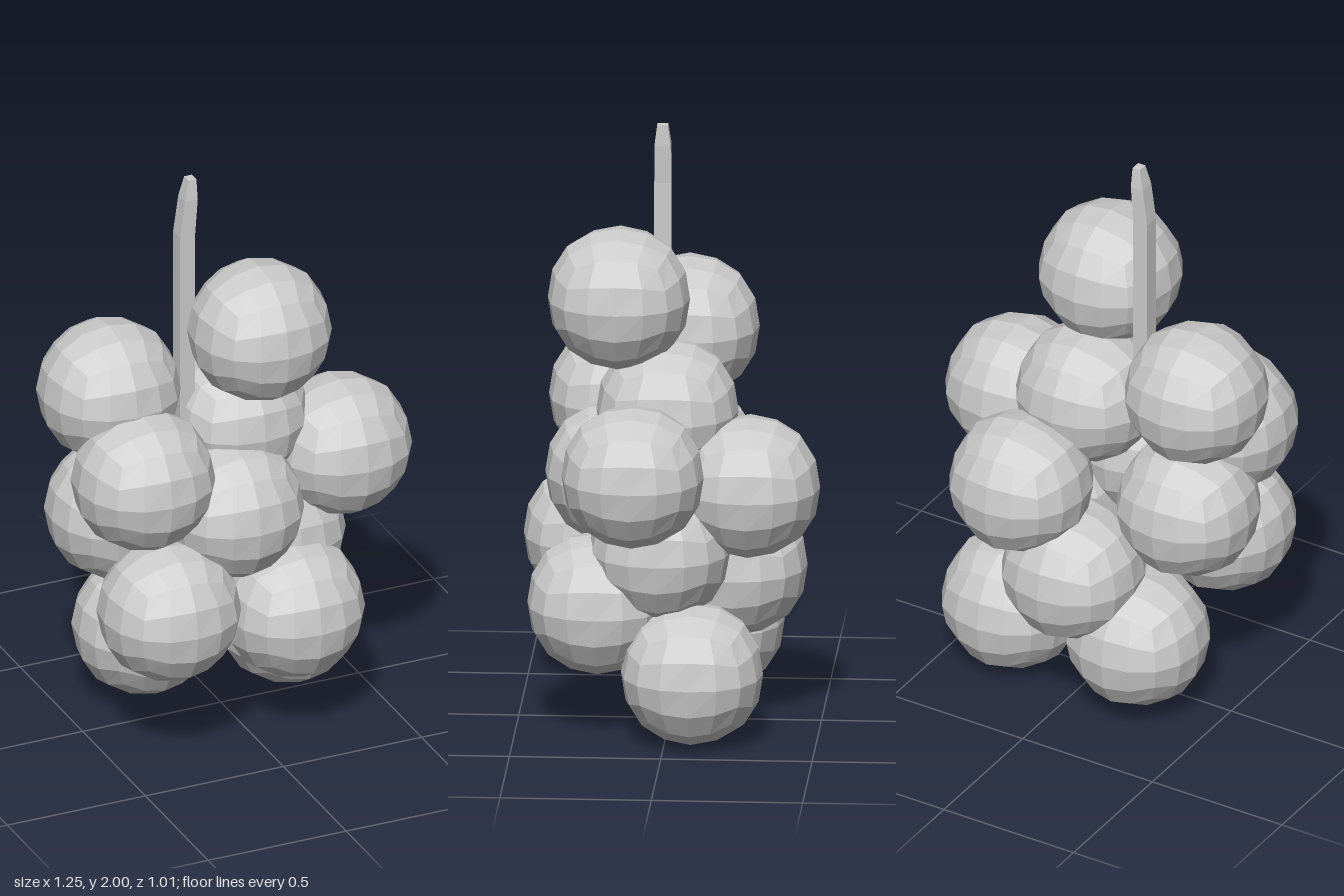
import * as THREE from 'three';

// Low-poly berry: a subdivided cube rounded to a ball, slightly fuller along its diagonals
function berryGeometry(radius) {
  const geo = new THREE.BoxGeometry(2, 2, 2, 4, 4, 4);
  const pos = geo.attributes.position;
  const v = new THREE.Vector3();
  const spread = (c) => (Math.abs(Math.abs(c) - 0.5) < 0.01 ? Math.sign(c) * 0.427 : c);
  for (let i = 0; i < pos.count; i++) {
    v.fromBufferAttribute(pos, i);
    v.set(spread(v.x), spread(v.y), spread(v.z)).normalize();
    const [a, b, c] = [v.x * v.x, v.y * v.y, v.z * v.z];
    v.multiplyScalar(radius * (1 + 0.14 * (a * b + b * c + c * a) - 1.15 * a * b * c));
    pos.setXYZ(i, v.x, v.y, v.z);
  }
  geo.computeVertexNormals();
  return geo;
}

// Four-sided stem lofted through sections [y, centre x, half width x, half depth z]
function stemGeometry() {
  const sections = [
    [1.1, -0.147, 0.027, 0.028],
    [1.8, -0.147, 0.027, 0.028],
    [1.93, -0.133, 0.023, 0.027],
    [2.0, -0.125, 0.014, 0.018],
  ];
  const z = 0.032;
  const points = [];
  const index = [];
  for (const [y, x, w, d] of sections) {
    points.push(x - w, y, z + d, x + w, y, z + d, x + w, y, z - d, x - w, y, z - d);
  }
  for (let s = 0; s < sections.length - 1; s++) {
    for (let k = 0; k < 4; k++) {
      const a = s * 4 + k;
      const b = s * 4 + ((k + 1) % 4);
      index.push(a, b, b + 4, a, b + 4, a + 4);
    }
  }
  // end caps
  const t = (sections.length - 1) * 4;
  index.push(t, t + 1, t + 2, t, t + 2, t + 3, 0, 2, 1, 0, 3, 2);
  const geo = new THREE.BufferGeometry();
  geo.setAttribute('position', new THREE.Float32BufferAttribute(points, 3));
  geo.setIndex(index);
  geo.computeVertexNormals();
  return geo;
}

export function createModel() {
  const model = new THREE.Group();
  model.name = 'berryCluster';
  const material = new THREE.MeshStandardMaterial({ color: 0xcccccc, flatShading: true });

  // Berry centres, top to bottom
  const centres = [
    [0.065, 1.458, 0.165],
    [-0.39, 1.24, -0.037],
    [0.055, 1.075, 0.005],
    [-0.367, 1.005, 0.188],
    [0.385, 0.935, 0.1],
    [0.145, 0.842, -0.27],
    [-0.042, 0.83, 0.18],
    [-0.36, 0.79, -0.04],
    [0.18, 0.63, 0.022],
    [-0.31, 0.545, 0.268],
    [-0.025, 0.528, -0.218],
    [0.157, 0.438, 0.227],
    [-0.22, 0.285, -0.13],
    [0.284, 0.237, -0.09],
  ];
  const berry = berryGeometry(0.235);
  centres.forEach((c, i) => {
    const mesh = new THREE.Mesh(berry, material);
    mesh.name = `berry${i + 1}`;
    mesh.position.set(...c);
    model.add(mesh);
  });

  const stem = new THREE.Mesh(stemGeometry(), material);
  stem.name = 'stem';
  model.add(stem);
  return model;
}
